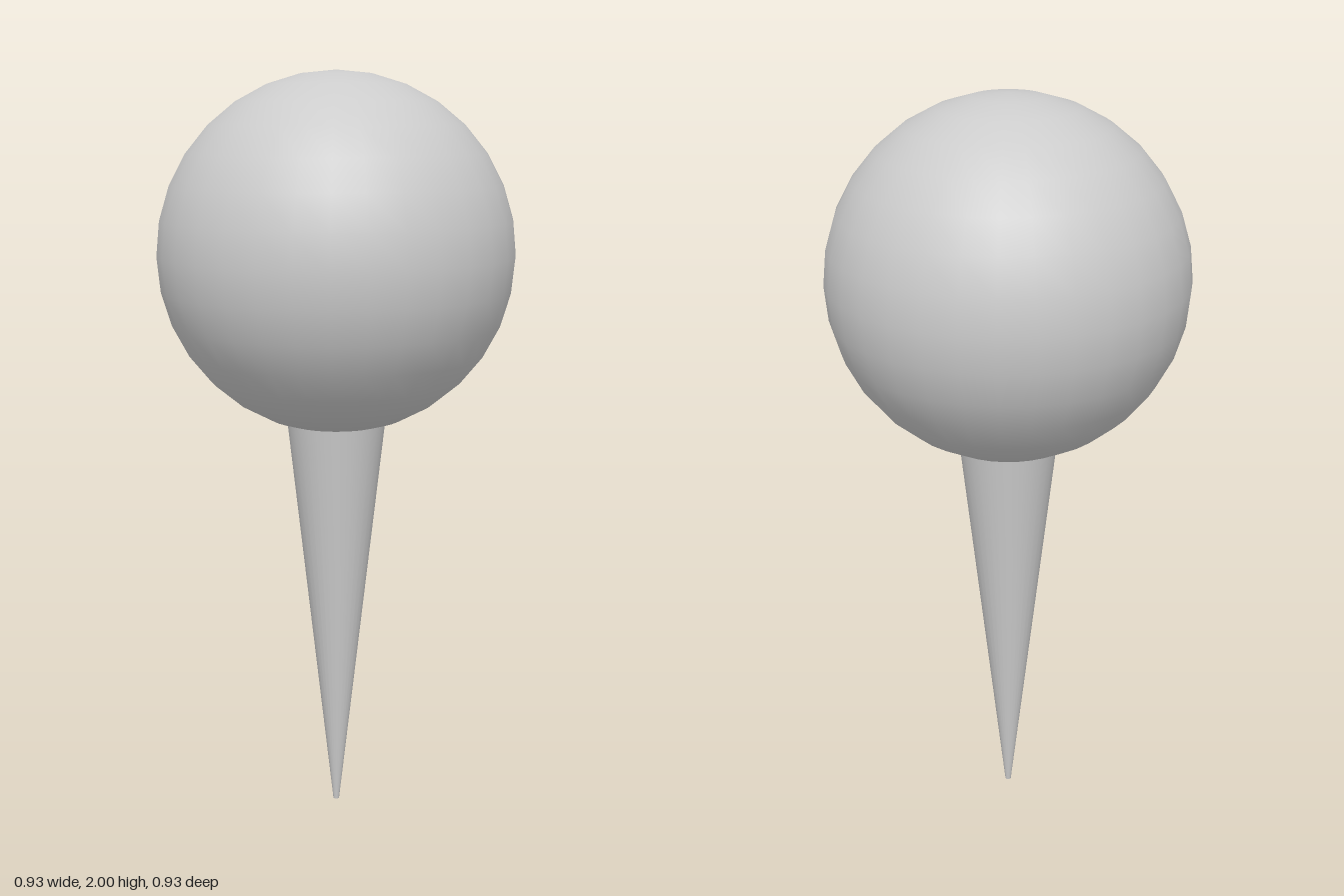
import * as THREE from 'three';

export function createModel() {
  const group = new THREE.Group();
  const material = new THREE.MeshStandardMaterial({ color: 0xcccccc });

  function add(name, geometry, y) {
    const mesh = new THREE.Mesh(geometry, material);
    mesh.name = name;
    mesh.position.y = y;
    group.add(mesh);
  }

  // Round head
  const radius = 0.466;
  add('head', new THREE.SphereGeometry(radius, 32, 16), 2 - radius);

  // Tapered spike, its top just inside the head
  const height = 1.1;
  add('spike', new THREE.CylinderGeometry(0.132, 0.008, height, 32), height / 2);

  return group;
}
